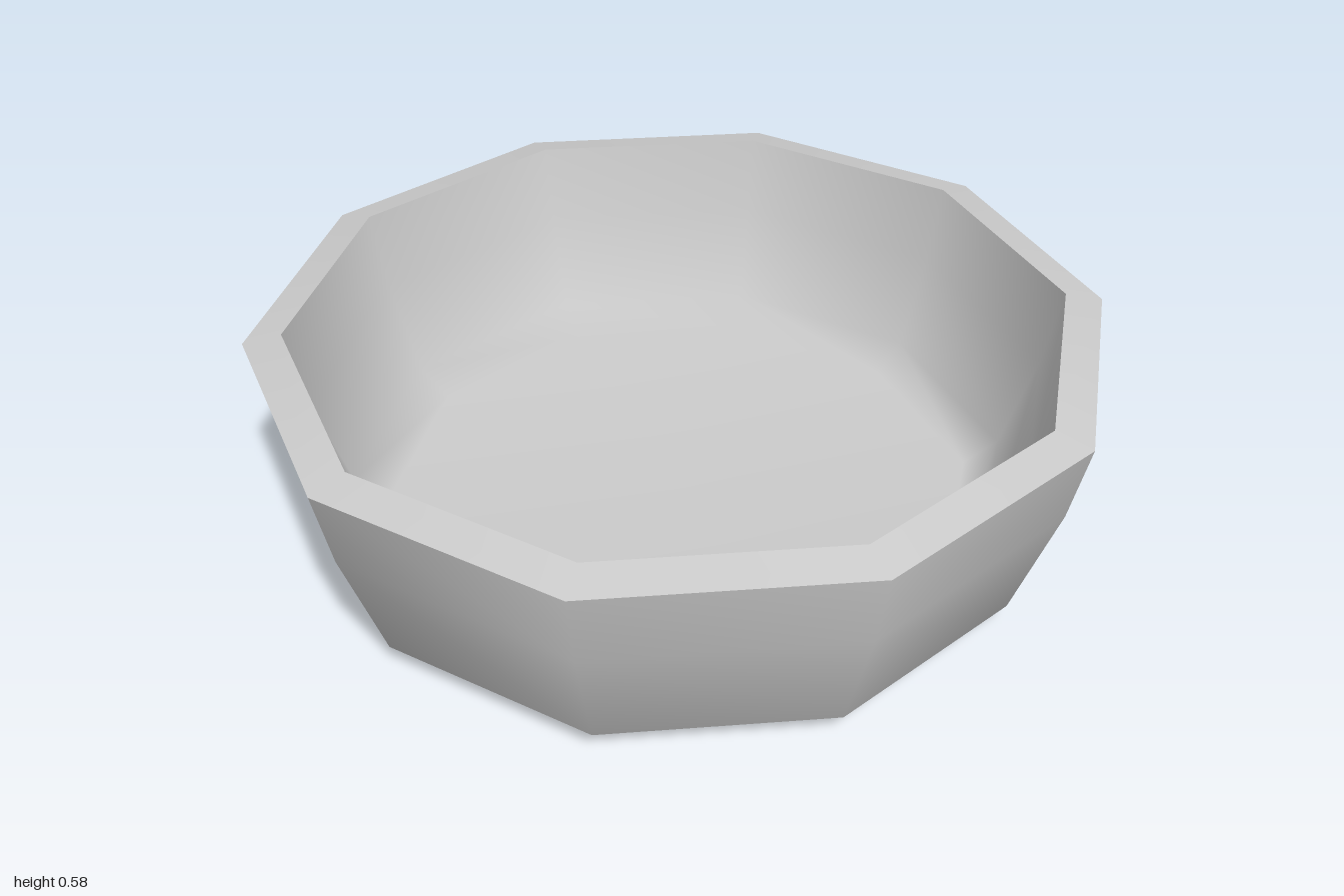
import * as THREE from 'three';

const SIDES = 10;

// Ten-sided ring surface, with a corner on the x axis
function ring(name, profile, material) {
  const points = profile.map(([r, y]) => new THREE.Vector2(r, y));
  const mesh = new THREE.Mesh(new THREE.LatheGeometry(points, SIDES, Math.PI / 2), material);
  mesh.name = name;
  return mesh;
}

export function createModel() {
  const material = new THREE.MeshStandardMaterial({ color: 0xcccccc });
  const bowl = new THREE.Group();
  bowl.name = 'bowl';

  // Separate surfaces keep both rim edges sharp while the walls stay smooth
  bowl.add(
    ring('outerWall', [[0, 0], [0.77, 0], [0.86, 0.07], [0.96, 0.37], [1, 0.56]], material),
    ring('rim', [[1, 0.56], [0.91, 0.58]], material),
    ring('innerWall', [[0.91, 0.58], [0.87, 0.39], [0.79, 0.16], [0.71, 0.1], [0, 0.1]], material),
  );
  return bowl;
}
